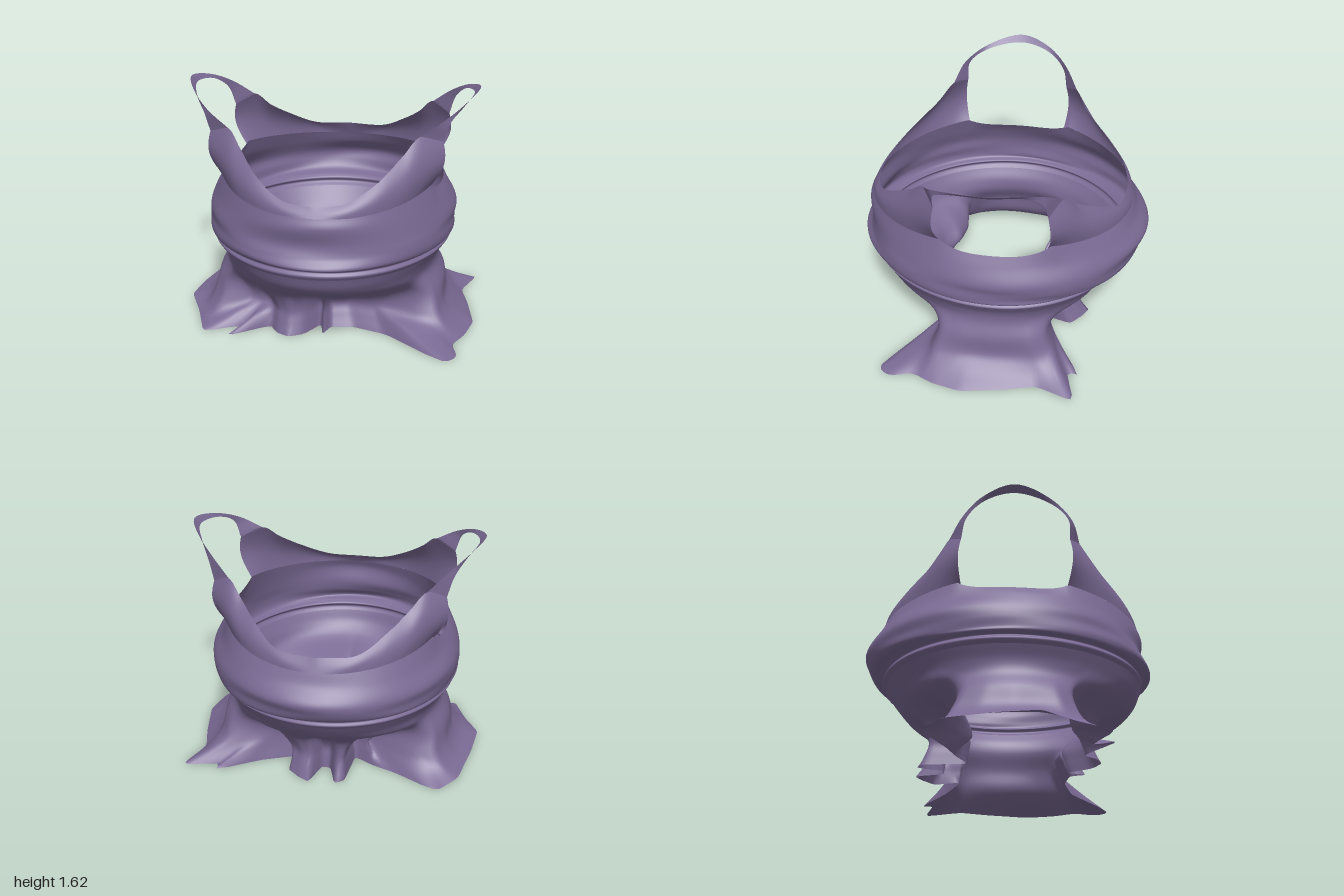
import * as THREE from 'three';

const V = (x, y, z) => new THREE.Vector3(x, y, z);
const ARM = 67 * Math.PI / 180; // angle of the armhole edges from the centre line

const cloth = new THREE.MeshStandardMaterial({ color: 0x7a6a94, side: THREE.DoubleSide });
cloth.name = 'plum cloth';

// Grid surface from a point function f(u, v), u and v from 0 to 1
function sheet(name, nu, nv, f, closed = false) {
  const pos = [], idx = [];
  const cols = closed ? nu : nu + 1;
  for (let i = 0; i < cols; i++) {
    for (let j = 0; j <= nv; j++) pos.push(...f(i / nu, j / nv).toArray());
  }
  for (let i = 0; i < nu; i++) {
    for (let j = 0; j < nv; j++) {
      const a = i * (nv + 1) + j, b = ((i + 1) % cols) * (nv + 1) + j;
      idx.push(a, b, b + 1, a, b + 1, a + 1);
    }
  }
  const g = new THREE.BufferGeometry();
  g.setAttribute('position', new THREE.Float32BufferAttribute(pos, 3));
  g.setIndex(idx);
  g.computeVertexNormals();
  const mesh = new THREE.Mesh(g, cloth);
  mesh.name = name;
  return mesh;
}

// Oval section: half width, front depth, back depth
function oval(t, y, a, zf, zb) {
  const c = Math.cos(t);
  return V(a * Math.sin(t), y, c * (c > 0 ? zf : zb));
}

// Top ring of the body, rising slightly at the corners of the armholes
function topRing(t) {
  const p = oval(t, 1.0, 0.75, 0.91, 0.86);
  const q = Math.abs(p.z) / 0.36;
  p.y += 0.06 * (q < 1 ? q ** 4 : Math.max(0, 1 - (q - 1) / 1.4));
  return p;
}

// Outline of a gathered section, looked up by angle
function outline(points) {
  const full = Math.PI * 2;
  const list = points.map(([x, z]) => ({ x, z, t: (Math.atan2(x, z) + full) % full }));
  list.sort((p, q) => p.t - q.t);
  const n = list.length;
  const at = (t) => {
    t = (t + full) % full;
    let k = list.findIndex((p) => p.t > t);
    if (k < 0) k = n;
    const p = list[(k - 1 + n) % n], q = list[k % n];
    const span = (q.t - p.t + full) % full || 1;
    const s = ((t - p.t + full) % full) / span;
    return V(p.x + (q.x - p.x) * s, 0, p.z + (q.z - p.z) * s);
  };
  // a little averaging rounds the folds
  return (t, y) => {
    const p = at(t).multiplyScalar(2).add(at(t - 0.03)).add(at(t + 0.03)).multiplyScalar(0.25);
    return p.setY(y);
  };
}

// Tucked-in section above the hem
const tuck = outline([
  [0, 0.48], [0.03, 0.36], [0.15, 0.33], [0.4, 0.37], [0.65, 0.43], [0.77, 0.42], [0.8, 0.25],
  [0.8, 0], [0.78, -0.3], [0.72, -0.4], [0.5, -0.38], [0.27, -0.4], [0.19, -0.27], [0.16, -0.5],
  [0.08, -0.52], [0.05, -0.4], [-0.03, -0.4], [-0.07, -0.52], [-0.13, -0.52], [-0.16, -0.24],
  [-0.22, -0.22], [-0.3, -0.31], [-0.42, -0.31], [-0.55, -0.38], [-0.74, -0.38], [-0.8, -0.2],
  [-0.82, 0], [-0.8, 0.3], [-0.7, 0.42], [-0.54, 0.36], [-0.37, 0.4], [-0.3, 0.5],
  [-0.22, 0.54], [-0.12, 0.5], [-0.02, 0.34]]);

// Flared hem with its corners and folds
const hem = outline([
  [0, 0.55], [0.04, 0.42], [0.2, 0.4], [0.45, 0.48], [0.6, 0.62], [0.72, 0.74], [0.85, 0.79],
  [0.92, 0.7], [0.87, 0.55], [0.95, 0.4], [1.0, 0.2], [0.95, -0.1], [0.9, -0.3], [1.01, -0.57],
  [0.82, -0.63], [0.7, -0.47], [0.5, -0.42], [0.27, -0.48], [0.2, -0.3], [0.17, -0.57],
  [0.08, -0.62], [0.05, -0.42], [-0.03, -0.42], [-0.07, -0.6], [-0.14, -0.56], [-0.17, -0.26],
  [-0.3, -0.34], [-0.5, -0.42], [-0.75, -0.58], [-0.9, -0.43], [-0.97, -0.1], [-1.0, 0.15],
  [-0.9, 0.35], [-0.8, 0.62], [-0.7, 0.72], [-0.58, 0.62], [-0.5, 0.45], [-0.37, 0.46],
  [-0.3, 0.56], [-0.22, 0.6], [-0.12, 0.55], [-0.02, 0.38]]);

// Body sections from the waist up: height, half width, front depth, back depth
const waist = [
  [0.42, 0.74, 0.79, 0.69], [0.5, 0.745, 0.87, 0.76], [0.585, 0.79, 0.905, 0.82]];
const bodice = [
  [0.585, 0.79, 0.905, 0.82], [0.615, 0.815, 0.92, 0.85], [0.64, 0.8, 0.905, 0.84],
  [0.66, 0.835, 0.935, 0.86], [0.69, 0.835, 0.975, 0.93], [0.75, 0.84, 0.945, 0.955],
  [0.82, 0.84, 0.92, 0.97], [0.93, 0.79, 0.93, 0.9]];

function columnSheet(name, nv, column) {
  const N = 216, cache = [];
  for (let i = 0; i < N; i++) {
    cache.push(new THREE.CatmullRomCurve3(column((i / N) * Math.PI * 2), false, 'centripetal'));
  }
  return sheet(name, N, nv, (u, v) => cache[Math.round(u * N) % N].getPoint(v), true);
}

// Neckline from the centre out to the shoulder, then down to the armhole
const necklines = {
  front: [[0, 1.06, 0.87], [0.2, 1.08, 0.83], [0.38, 1.18, 0.71], [0.52, 1.31, 0.55],
    [0.62, 1.41, 0.45], [0.76, 1.36, 0.37]],
  back: [[0, 1.09, -0.82], [0.25, 1.1, -0.77], [0.42, 1.2, -0.63], [0.54, 1.3, -0.5],
    [0.64, 1.4, -0.42], [0.76, 1.34, -0.34]],
};

function panel(name, pts, back) {
  const curve = new THREE.CatmullRomCurve3(pts.map((p) => V(...p)), false, 'centripetal');
  return sheet(name, 80, 14, (u, v) => {
    const s = (u * 2 - 1) * (back ? -1 : 1), k = Math.abs(s);
    const n = curve.getPoint(k);
    if (s < 0) n.x *= -1;
    const b = topRing(back ? Math.PI - s * ARM : s * ARM);
    const p = b.lerp(n, v);
    const bulge = 1 + 0.06 * k * Math.sin(Math.PI * v);
    p.x *= bulge;
    p.z *= bulge;
    return p;
  });
}

// Thin twisting shoulder strap between a neck edge and an armhole edge
function strap(name, side) {
  const spline = (pts) => new THREE.CatmullRomCurve3(
    pts.map(([x, y, z]) => V(x * side, y, z)), false, 'centripetal');
  const neckEdge = spline([[0.62, 1.41, 0.45], [0.76, 1.5, 0.39], [0.89, 1.58, 0.24],
    [0.975, 1.63, 0], [0.89, 1.59, -0.2], [0.77, 1.51, -0.33], [0.64, 1.4, -0.42]]);
  const armEdge = spline([[0.76, 1.36, 0.37], [0.8, 1.48, 0.36], [0.87, 1.55, 0.25],
    [0.935, 1.59, 0], [0.87, 1.56, -0.2], [0.8, 1.47, -0.31], [0.76, 1.34, -0.34]]);
  return sheet(name, 48, 3, (u, v) => (side > 0
    ? neckEdge.getPoint(u).lerp(armEdge.getPoint(u), 1 - v)
    : neckEdge.getPoint(u).lerp(armEdge.getPoint(u), v)));
}

export function createModel() {
  const group = new THREE.Group();
  group.name = 'sleevelessTop';

  // gathered lower part, flaring to the hem
  group.add(columnSheet('gatheredSkirt', 36, (t) => {
    const edge = hem(t, 0.012);
    if (edge.x < -0.8) edge.y += (-0.8 - edge.x) * 0.22;
    const flare = tuck(t, 0.09).lerp(hem(t, 0.09), 0.4);
    const mid = oval(t, 0.3, 0.77, 0.66, 0.58).lerp(tuck(t, 0.3), 0.5);
    return [edge, flare, tuck(t, 0.17), mid, ...waist.map((r) => oval(t, ...r))];
  }));

  // full bodice with a seam under the bust and soft creases
  group.add(columnSheet('bodice', 56, (t) => [...bodice.map((r, i) => {
    const p = oval(t, ...r);
    const w = i > 3 ? 1 + 0.006 * Math.sin(5 * t + i * 2) : 1;
    return V(p.x * w, p.y + (i > 3 ? 0.008 * Math.sin(3 * t + i) : 0), p.z * w);
  }), topRing(t)]));

  group.add(panel('frontPanel', necklines.front, false));
  group.add(panel('backPanel', necklines.back, true));
  group.add(strap('leftStrap', 1), strap('rightStrap', -1));
  return group;
}
